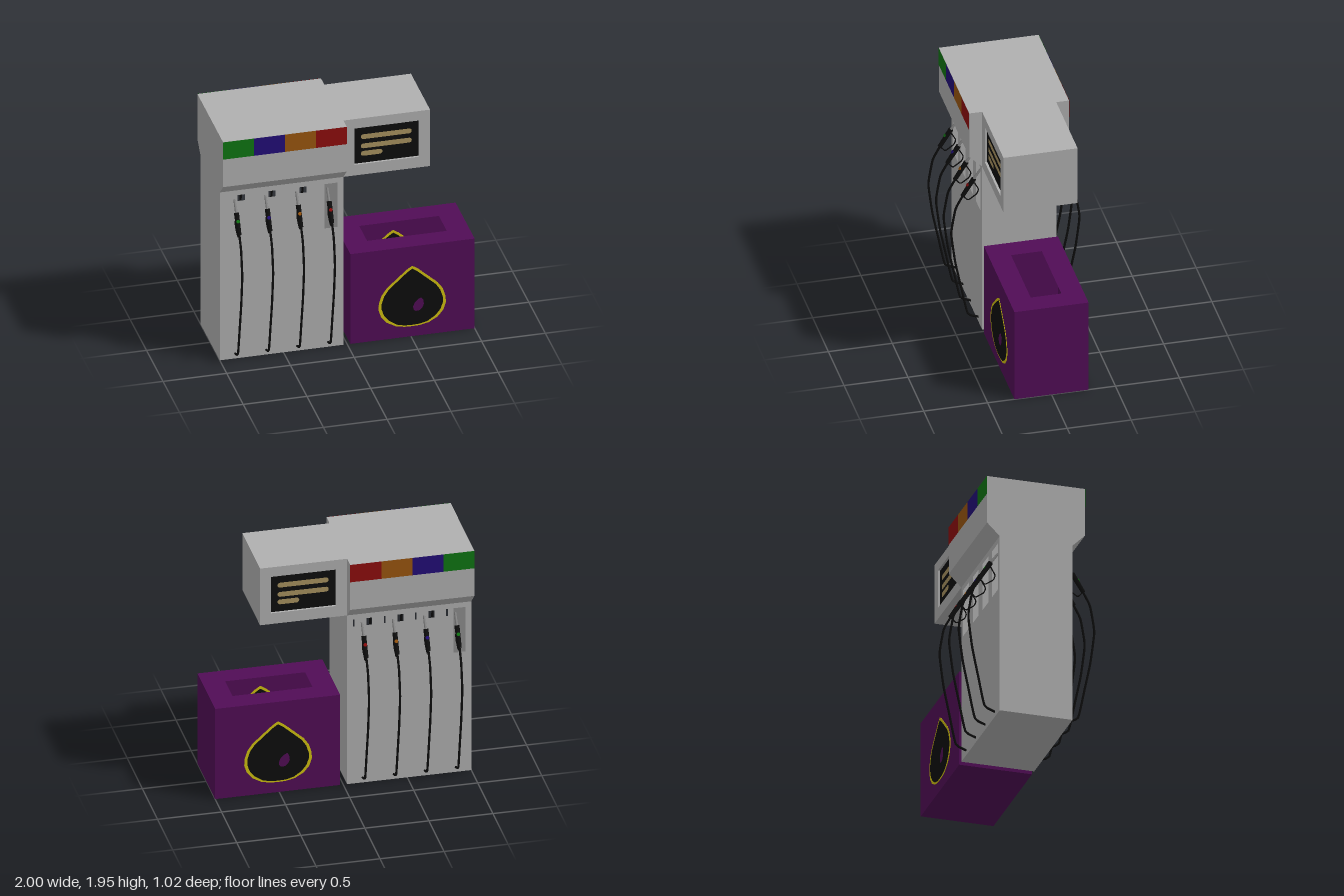
import * as THREE from 'three';

const mat = (name, color) => new THREE.MeshStandardMaterial({ name, color, side: THREE.DoubleSide });
const grey = mat('bodyGrey', 0xb0b0b0);
const steel = mat('nozzleSteel', 0x868686);
const purple = mat('purple', 0x510d56);
const black = mat('black', 0x0d0d0d);
const yellow = mat('yellow', 0xcfbf10);
const tan = mat('screenTan', 0xa8925f);
const grades = [mat('green', 0x0f7512), mat('navy', 0x220d78), mat('orange', 0x9a560f), mat('red', 0x8e0d0d)];

const H = Math.PI / 2;
const X0 = -1, X1 = -0.03, X2 = 0.65;   // pump left edge, pump right edge, sign right edge
const D = 0.29, HEAD = 0.39;            // half depths of body and head
const PITCH = (X1 - X0) / 4;
const PUMP_X = (X0 + X1) / 2, SIGN_X = (X1 + X2) / 2;

function add(parent, name, geometry, material, pos = [0, 0, 0], rot = [0, 0, 0]) {
  const mesh = new THREE.Mesh(geometry, material);
  mesh.name = name;
  mesh.position.set(...pos);
  mesh.rotation.set(...rot);
  parent.add(mesh);
  return mesh;
}

// centred rectangle outline
function rect(w, h, cx = 0, cy = 0) {
  return [[-1, -1], [1, -1], [1, 1], [-1, 1]].map(([a, b]) => new THREE.Vector2(cx + a * w / 2, cy + b * h / 2));
}

// thin sheet, optionally with rectangular openings [w, h, cx, cy]
function sheet(w, h, holes = []) {
  const s = new THREE.Shape(rect(w, h));
  holes.forEach(r => s.holes.push(new THREE.Path(rect(...r))));
  return s;
}
const panel = (parent, name, m, w, h, pos, rot, holes) =>
  add(parent, name, new THREE.ShapeGeometry(sheet(w, h, holes)), m, pos, rot);

// rounded bar starting at x = 0
function bar(length, h) {
  const s = new THREE.Shape(), r = h / 2;
  s.absarc(length - r, 0, r, -H, H);
  s.absarc(r, 0, r, H, 3 * H);
  return new THREE.ShapeGeometry(s, 5);
}

function tube(points, radius, segments, tension = 0.25) {
  const path = new THREE.CatmullRomCurve3(points.map(([z, y]) => new THREE.Vector3(0, y, z)), false, 'catmullrom', tension);
  return new THREE.TubeGeometry(path, segments, radius, 6);
}

// straight rod between two (z, y) points, in the x = 0 plane
function rod(parent, name, m, a, b, r1, r0, sides = 8) {
  const dz = b[0] - a[0], dy = b[1] - a[1];
  return add(parent, name, new THREE.CylinderGeometry(r1, r0, Math.hypot(dz, dy), sides), m,
    [0, (a[1] + b[1]) / 2, (a[0] + b[0]) / 2], [Math.atan2(dz, dy), 0, 0]);
}

// hose, handle, guard and nozzle of one pump
function makeNozzle(gradeColor) {
  const g = new THREE.Group();
  g.name = 'nozzleAndHose';
  add(g, 'hose', tube([[0.285, 0.04], [0.372, 0.083], [0.425, 0.33], [0.47, 0.554], [0.5, 0.79],
    [0.498, 0.86], [0.467, 1.035], [0.41, 1.145]], 0.009, 36), black);
  rod(g, 'handle', black, [0.415, 1.14], [0.325, 1.285], 0.02, 0.017);
  rod(g, 'spout', steel, [0.335, 1.27], [0.265, 1.37], 0.009, 0.011);
  add(g, 'guard', tube([[0.413, 1.145], [0.37, 1.098], [0.302, 1.145], [0.288, 1.185], [0.318, 1.24], [0.338, 1.262]],
    0.005, 20, 0.1), black);
  const dot = add(g, 'gradeDot', new THREE.CylinderGeometry(0.014, 0.014, 0.008, 12), gradeColor, [0, 1.235, 0.374]);
  dot.rotation.x = Math.atan2(0.85, 0.53);
  return g;
}

// symmetric drop outline from its right half
function dropShape(half) {
  const pts = half.map(p => new THREE.Vector2(...p));
  const left = half.slice(1, -1).reverse().map(([x, y]) => new THREE.Vector2(-x, y));
  return new THREE.Shape([...pts, ...left]);
}

// plate set into a wall, visible from both sides
function inlay(parent, name, shape, m, depth) {
  const geo = new THREE.ExtrudeGeometry(shape, { depth, bevelEnabled: false });
  add(parent, name, geo.translate(0, 0, -depth / 2), m);
}

function makeDrop() {
  const g = new THREE.Group();
  g.name = 'dropEmblem';
  inlay(g, 'dropRim', dropShape([[0, 0.612], [0.045, 0.582], [0.12, 0.515], [0.2, 0.442], [0.24, 0.385], [0.262, 0.315], [0.264, 0.26],
    [0.245, 0.2], [0.2, 0.145], [0.13, 0.105], [0.06, 0.09], [0, 0.088]]), yellow, 0.004);
  inlay(g, 'dropCentre', dropShape([[0, 0.588], [0.04, 0.56], [0.11, 0.497], [0.185, 0.428], [0.22, 0.375], [0.24, 0.31], [0.24, 0.265],
    [0.222, 0.21], [0.182, 0.16], [0.12, 0.118], [0.06, 0.103], [0, 0.1]]), black, 0.0065);
  const spot = [[0.07, 0.33], [0.045, 0.318], [0.02, 0.292], [0.007, 0.262], [0.008, 0.235], [0.025, 0.218],
    [0.055, 0.22], [0.077, 0.24], [0.091, 0.27], [0.086, 0.31]];
  inlay(g, 'dropSpot', new THREE.Shape(spot.map(p => new THREE.Vector2(...p))), purple, 0.009);
  return g;
}

// everything on one face of the pump and sign; dir = 1 front, -1 back
function makeFace(dir) {
  const g = new THREE.Group();
  g.name = dir > 0 ? 'frontFace' : 'backFace';
  g.rotation.y = dir > 0 ? 0 : Math.PI;
  const px = dir * PUMP_X, w = X1 - X0;
  const centres = [0, 1, 2, 3].map(i => X0 + PITCH * (i + 0.5));

  // slotted body panel, chamfer and head panel
  const slots = centres.map(x => [0.15, 0.385, dir * x - px, 1.225 - 0.73]);
  panel(g, 'slottedPanel', grey, w, 1.46, [px, 0.73, D], [0, 0, 0], slots);
  panel(g, 'headChamfer', grey, w, Math.hypot(0.1, 0.1), [px, 1.51, 0.34], [Math.PI / 4, 0, 0]);
  panel(g, 'headPanel', grey, w, 0.39, [px, 1.755, HEAD]);

  // grade colours and nozzles
  centres.forEach((x, i) => {
    panel(g, 'gradeBand', grades[i], PITCH, 0.15, [dir * x, 1.875, HEAD + 0.002]);
    const n = makeNozzle(grades[i]);
    n.position.x = dir * x;
    g.add(n);
  });

  // price sign with a recessed screen
  const sx = dir * SIGN_X;
  const frame = new THREE.ExtrudeGeometry(sheet(X2 - X1, 0.49, [[0.505, 0.315, 0, 0.005]]), { depth: 0.02, bevelEnabled: false });
  add(g, 'signFrame', frame, grey, [sx, 1.705, D - 0.02]);
  panel(g, 'screen', black, 0.52, 0.33, [sx, 1.71, D - 0.018]);
  [[1.78, 0.4], [1.7, 0.4], [1.635, 0.17]].forEach(([y, len]) =>
    add(g, 'screenBar', bar(len, 0.042), tan, [sx - 0.2, y, D - 0.014]));
  return g;
}

function makePump() {
  const g = new THREE.Group();
  g.name = 'pump';
  g.add(makeFace(1), makeFace(-1));
  // end walls follow the flared profile
  const half = [[D, 0], [D, 1.46], [HEAD, 1.56], [HEAD, 1.95]];
  const outline = [...half, ...half.map(([z, y]) => [-z, y]).reverse()].map(p => new THREE.Vector2(...p));
  const end = new THREE.ShapeGeometry(new THREE.Shape(outline));
  add(g, 'leftWall', end, grey, [X1, 0, 0], [0, H, 0]);
  add(g, 'rightWall', end, grey, [X0, 0, 0], [0, -H, 0]);
  panel(g, 'base', grey, X1 - X0, 2 * D, [PUMP_X, 0, 0], [H, 0, 0]);
  panel(g, 'roof', grey, X1 - X0, 2 * HEAD, [PUMP_X, 1.95, 0], [-H, 0, 0]);
  // sign top, underside and end
  panel(g, 'signTop', grey, X2 - X1, 2 * D, [SIGN_X, 1.95, 0], [-H, 0, 0]);
  panel(g, 'signUnderside', grey, X2 - X1, 2 * D, [SIGN_X, 1.46, 0], [H, 0, 0]);
  panel(g, 'signEnd', grey, 2 * D, 0.49, [X2, 1.705, 0], [0, H, 0]);
  return g;
}

// hollow bin with an opening in its top
function makeBin() {
  const g = new THREE.Group();
  g.name = 'bin';
  const w = 0.975, h = 0.78;
  g.position.x = 1 - w / 2;
  panel(g, 'binTop', purple, w, 2 * D, [0, h, 0], [-H, 0, 0], [[0.625, 0.24, 0, 0]]);
  panel(g, 'binBase', purple, w, 2 * D, [0, 0, 0], [H, 0, 0]);
  for (const s of [1, -1]) {
    panel(g, 'binEnd', purple, 2 * D, h, [s * w / 2, h / 2, 0], [0, s * H, 0]);
    panel(g, 'binSide', purple, w, h, [0, h / 2, s * D], [0, s > 0 ? 0 : Math.PI, 0]);
    const drop = makeDrop();
    drop.position.set(-0.003, 0, s * D);
    drop.rotation.y = s > 0 ? 0 : Math.PI;
    g.add(drop);
  }
  return g;
}

export function createModel() {
  const model = new THREE.Group();
  model.name = 'fuelPump';
  model.add(makePump(), makeBin());
  return model;
}
